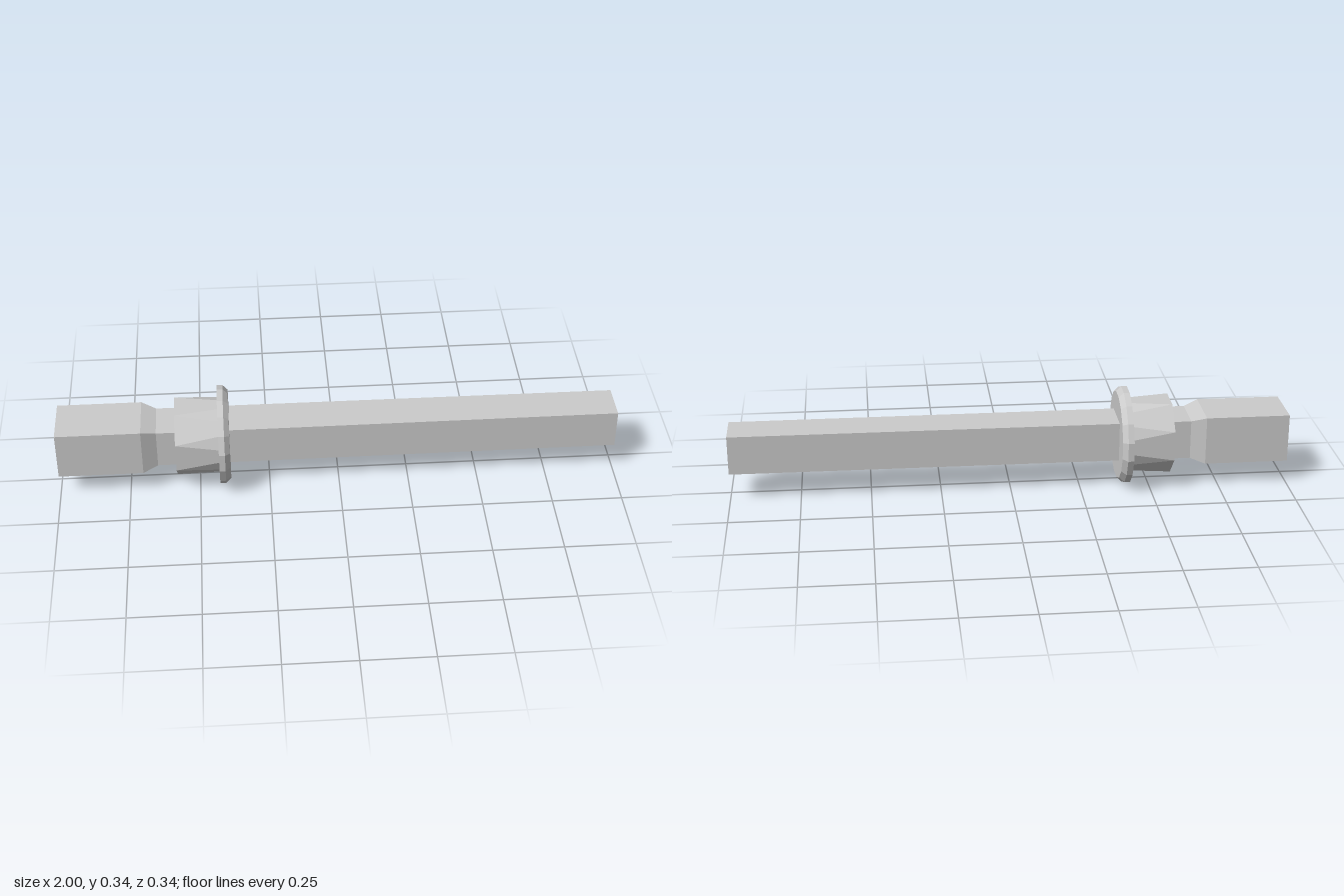
import * as THREE from 'three';

const AXIS_Y = 0.1725; // height of the long axis

// Square-ish section: half height, half depth
const rect = (h, w) => [[h, -w], [h, w], [-h, w], [-h, -w]];

// Sixteen-sided section with flat sides up and down, sized by its apothem
function ring16(apothem) {
  const r = apothem / Math.cos(Math.PI / 16);
  return Array.from({ length: 16 }, (_, i) => {
    const a = (i + 0.5) * Math.PI / 8;
    return [r * Math.cos(a), r * Math.sin(a)];
  });
}

// Octagon given as sixteen points, each corner doubled, to join a sixteen-sided ring
function ring8(apothem) {
  const r = apothem / Math.cos(Math.PI / 8);
  return Array.from({ length: 16 }, (_, i) => {
    const a = (Math.floor(i / 2) + 0.5) * Math.PI / 4;
    return [r * Math.cos(a), r * Math.sin(a)];
  });
}

// Closed, faceted loft along x through sections [x, points]
function loft(name, sections, material) {
  const pos = [];
  const tri = (a, b, c) => {
    const same = (p, q) => p.distanceTo(q) < 1e-6;
    if (same(a, b) || same(b, c) || same(a, c)) return;
    for (const p of [a, b, c]) pos.push(p.x, p.y, p.z);
  };
  const rings = sections.map(([x, pts]) => pts.map(([y, z]) => new THREE.Vector3(x, y, z)));
  const n = rings[0].length;
  const first = rings[0], last = rings[rings.length - 1];
  const c0 = new THREE.Vector3(sections[0][0], 0, 0);
  const c1 = new THREE.Vector3(sections[sections.length - 1][0], 0, 0);
  for (let i = 0; i < n; i++) {
    const j = (i + 1) % n;
    for (let k = 0; k < rings.length - 1; k++) {
      const a = rings[k], b = rings[k + 1];
      tri(a[i], a[j], b[j]);
      tri(a[i], b[j], b[i]);
    }
    tri(c0, first[j], first[i]);
    tri(c1, last[i], last[j]);
  }
  const geometry = new THREE.BufferGeometry();
  geometry.setAttribute('position', new THREE.Float32BufferAttribute(pos, 3));
  geometry.computeVertexNormals();
  const mesh = new THREE.Mesh(geometry, material);
  mesh.name = name;
  mesh.position.y = AXIS_Y;
  return mesh;
}

export function createModel() {
  const group = new THREE.Group();
  group.name = 'flangedShaft';
  const grey = new THREE.MeshStandardMaterial({ color: 0xcccccc, flatShading: true });

  // Thick square head narrowing to a neck that ends inside the collar
  group.add(loft('squareHead', [
    [-1, rect(0.088, 0.0935)],
    [-0.7, rect(0.088, 0.0935)],
    [-0.647, rect(0.071, 0.0745)],
    [-0.5, rect(0.071, 0.0745)],
  ], grey));

  // Collar: octagonal outer end blending to sixteen sides at the flange
  group.add(loft('collar', [
    [-0.58, ring8(0.131)],
    [-0.42, ring16(0.131)],
  ], grey));

  // Flange disc with a bevelled face towards the shaft
  group.add(loft('flange', [
    [-0.428, ring16(0.1725)],
    [-0.407, ring16(0.1725)],
    [-0.389, ring16(0.156)],
  ], grey));

  // Long square shaft, very slightly tapered in depth
  group.add(loft('shaft', [
    [-0.45, rect(0.071, 0.0745)],
    [1, rect(0.071, 0.071)],
  ], grey));

  return group;
}
